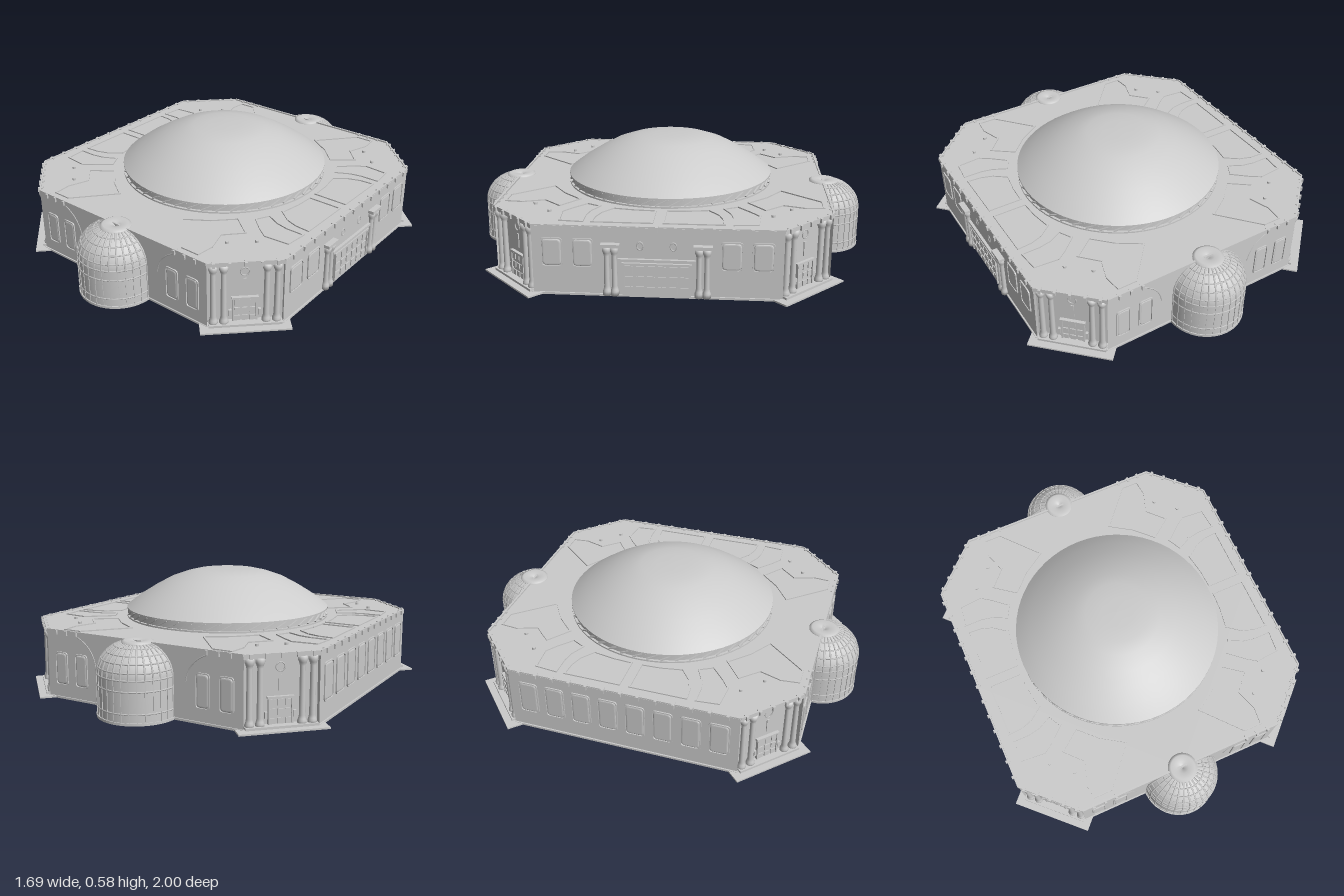
import * as THREE from 'three';

const mat = new THREE.MeshStandardMaterial({ color: 0xcccccc, side: THREE.DoubleSide });

function add(parent, name, geo, x = 0, y = 0, z = 0) {
  const m = new THREE.Mesh(geo, mat);
  m.name = name;
  m.position.set(x, y, z);
  parent.add(m);
  return m;
}
const box = (w, h, d) => new THREE.BoxGeometry(w, h, d);
const V2 = (pts) => pts.map(([x, y]) => new THREE.Vector2(x, y));

function group(parent, name) {
  const g = new THREE.Group();
  g.name = name;
  parent.add(g);
  return g;
}

// Local frame of a wall: x runs along it, z points outward
function wall(parent, name, x, z, angle) {
  const g = group(parent, name);
  g.position.set(x, 0, z);
  g.rotation.y = angle;
  return g;
}

// Upright prism over a plan outline
function slab(parent, name, outline, y0, h) {
  const geo = new THREE.ExtrudeGeometry(new THREE.Shape(V2(outline)), { depth: h, bevelEnabled: false });
  geo.rotateX(-Math.PI / 2);
  return add(parent, name, geo, 0, y0, 0);
}

// Mirror one quarter outline into a closed plan
function plan(q) {
  const r = [...q].reverse();
  return [...q, ...r.map(([x, z]) => [-x, z]), ...q.map(([x, z]) => [-x, -z]), ...r.map(([x, z]) => [x, -z])];
}

function roundRect(w, h, r) {
  const s = new THREE.Shape(), a = w / 2, b = h / 2;
  s.moveTo(-a + r, -b);
  s.lineTo(a - r, -b); s.quadraticCurveTo(a, -b, a, -b + r);
  s.lineTo(a, b - r); s.quadraticCurveTo(a, b, a - r, b);
  s.lineTo(-a + r, b); s.quadraticCurveTo(-a, b, -a, b - r);
  s.lineTo(-a, -b + r); s.quadraticCurveTo(-a, -b, -a + r, -b);
  return s;
}

// Rim with a softly bulging pane
function windowPane(g, x, y, w, h) {
  const rim = roundRect(w, h, 0.018);
  rim.holes.push(roundRect(w - 0.012, h - 0.012, 0.014));
  add(g, 'windowRim', new THREE.ExtrudeGeometry(rim, { depth: 0.006, bevelEnabled: false, curveSegments: 5 }), x, y, 0);
  add(g, 'windowPane', new THREE.ExtrudeGeometry(roundRect(w - 0.03, h - 0.03, 0.012), {
    depth: 0.001, bevelThickness: 0.004, bevelSize: 0.008, bevelSegments: 3, curveSegments: 5 }), x, y, 0);
}

function column(g, x, z, r, h) {
  const pts = [[0, 0], [r * 1.5, 0], [r * 1.5, 0.02], [r * 1.2, 0.03], [r, 0.045], [r * 0.88, h - 0.045],
    [r * 1.2, h - 0.03], [r * 1.5, h - 0.02], [r * 1.5, h], [0, h]];
  add(g, 'column', new THREE.LatheGeometry(V2(pts), 14), x, 0.008, z);
}

// Door with a grid of raised panels
function door(g, w, h, cols, rows) {
  add(g, 'doorLeaf', box(w, h, 0.008), 0, h / 2 + 0.01, 0.003);
  for (const s of [-1, 1]) add(g, 'doorJamb', box(0.008, h, 0.02), s * w / 2, h / 2 + 0.01, 0.006);
  add(g, 'doorLintel', box(w + 0.016, 0.01, 0.02), 0, h + 0.012, 0.006);
  const cw = w / cols, rh = h / rows;
  for (let i = 0; i < cols; i++) for (let j = 0; j < rows; j++)
    add(g, 'doorPanel', box(cw * 0.72, rh * 0.68, 0.008), (i + 0.5 - cols / 2) * cw, 0.01 + (j + 0.5) * rh, 0.008);
}

function dentils(g, positions) {
  for (const x of positions) add(g, 'dentil', box(0.013, 0.022, 0.026), x, 0.327, 0);
}

// Raised line on the roof through plan points
function ridge(g, pts) {
  for (let i = 0; i < pts.length; i++) {
    const [x0, z0] = pts[i], [x1, z1] = pts[(i + 1) % pts.length];
    const dx = x1 - x0, dz = z1 - z0;
    const m = add(g, 'panelRidge', box(Math.hypot(dx, dz) + 0.007, 0.008, 0.008), (x0 + x1) / 2, 0.334, (z0 + z1) / 2);
    m.rotation.y = -Math.atan2(dz, dx);
  }
}

function tower(parent, name, s) {
  const g = wall(parent, name, 0, s * 0.808, s > 0 ? 0 : Math.PI);
  const profile = [[0.187, 0], [0.187, 0.2], [0.182, 0.232], [0.166, 0.268], [0.14, 0.298], [0.105, 0.322], [0.068, 0.333]];
  add(g, 'towerBase', new THREE.CylinderGeometry(0.192, 0.192, 0.012, 40), 0, 0.006, 0);
  add(g, 'towerShell', new THREE.LatheGeometry(V2(profile), 40));
  add(g, 'towerCap', new THREE.LatheGeometry(V2([[0.074, 0.326], [0.074, 0.338], [0.06, 0.345], [0.03, 0.341], [0.012, 0.336], [0, 0.325]]), 32));
  const path = new THREE.CatmullRomCurve3(profile.slice(1).map(([r, y]) => new THREE.Vector3(0, y, r)));
  const rib = new THREE.TubeGeometry(path, 12, 0.0045, 5);
  for (let i = 0; i <= 16; i++) {
    const a = (i / 16 - 0.5) * Math.PI;
    add(g, 'domeRib', rib).rotation.y = a;
    const strip = add(g, 'wallRib', box(0.005, 0.19, 0.006), Math.sin(a) * 0.187, 0.105, Math.cos(a) * 0.187);
    strip.rotation.y = a;
  }
  for (const [r, y] of [[0.187, 0.05], [0.187, 0.15], ...profile.slice(1, 6)]) {
    const ring = new THREE.TorusGeometry(r, 0.004, 5, 32, Math.PI);
    ring.rotateX(Math.PI / 2);
    add(g, 'towerRing', ring, 0, y, 0);
  }
}

export function createModel() {
  const root = new THREE.Group();
  root.name = 'domedHall';

  // Eight-sided body, its corner walls set back under the roof
  slab(root, 'body', plan([[0.785, 0], [0.785, 0.565], [0.765, 0.545], [0.52, 0.782], [0.54, 0.802], [0, 0.802]]), 0, 0.32);
  slab(root, 'plinth', plan([[0.792, 0], [0.792, 0.565], [0.54, 0.808], [0, 0.808]]), 0, 0.01);
  slab(root, 'roof', plan([[0.79, 0], [0.79, 0.565], [0.54, 0.806], [0, 0.806]]), 0.315, 0.017);

  // Central dome on a braced drum
  add(root, 'drum', new THREE.CylinderGeometry(0.518, 0.518, 0.06, 64), 0, 0.355, 0);
  for (const y of [0.339, 0.38]) {
    const ring = new THREE.CylinderGeometry(0.53, 0.53, 0.008, 64);
    add(root, 'drumRing', ring, 0, y, 0);
  }
  for (let i = 0; i < 48; i++) {
    const a = i / 48 * Math.PI * 2;
    const brace = add(root, 'drumBrace', box(0.07, 0.007, 0.009), Math.sin(a) * 0.523, 0.36, Math.cos(a) * 0.523);
    brace.rotation.set(0, a, 0.45);
  }
  add(root, 'dome', new THREE.LatheGeometry(V2([[0.53, 0.384], [0.5, 0.407], [0.45, 0.443], [0.38, 0.486], [0.3, 0.529],
    [0.22, 0.557], [0.16, 0.571], [0.08, 0.575], [0, 0.576]]), 64));

  tower(root, 'frontTower', 1);
  tower(root, 'backTower', -1);

  // Front and back walls: paired windows and sweeping arches
  for (const s of [1, -1]) {
    const g = wall(root, s > 0 ? 'frontWall' : 'backWall', 0, s * 0.802, s > 0 ? 0 : Math.PI);
    for (const m of [-1, 1]) {
      windowPane(g, m * 0.337, 0.15, 0.076, 0.165);
      windowPane(g, m * 0.457, 0.15, 0.076, 0.165);
      const arch = new THREE.QuadraticBezierCurve3(new THREE.Vector3(m * 0.25, 0.18, 0),
        new THREE.Vector3(m * 0.265, 0.29, 0), new THREE.Vector3(m * 0.39, 0.325, 0));
      add(g, 'archLine', new THREE.TubeGeometry(arch, 14, 0.003, 5));
      dentils(g, [0.36, 0.42, 0.48].map((x) => m * x));
    }
    add(g, 'parapet', box(1.08, 0.012, 0.01), 0, 0.334, 0);
  }

  // Side walls: portico on the left, a row of windows on the right
  for (const s of [1, -1]) {
    const g = wall(root, s > 0 ? 'leftWall' : 'rightWall', s * 0.785, 0, s * Math.PI / 2);
    const tabs = [];
    for (let i = -6; i <= 6; i++) tabs.push(i * 0.085);
    dentils(g, tabs);
    add(g, 'parapet', box(1.13, 0.01, 0.008), 0, 0.333, 0);
    if (s < 0) {
      for (let i = 0; i < 8; i++) windowPane(g, (i - 3.5) * 0.135, 0.185, 0.1, 0.18);
      continue;
    }
    for (const m of [-1, 1]) {
      windowPane(g, m * 0.335, 0.205, 0.1, 0.14);
      windowPane(g, m * 0.475, 0.205, 0.1, 0.14);
      column(g, m * 0.19, 0.007, 0.013, 0.235);
      column(g, m * 0.225, 0.007, 0.013, 0.235);
      add(g, 'columnCap', box(0.085, 0.015, 0.035), m * 0.207, 0.25, 0.012);
      const rosette = add(g, 'rosette', new THREE.TorusGeometry(0.014, 0.003, 5, 14), m * 0.075, 0.245, 0);
      rosette.scale.y = 1.3;
    }
    door(g, 0.3, 0.15, 6, 3);
    add(g, 'porticoBeam', box(0.35, 0.014, 0.016), 0, 0.178, 0.006);
  }

  // Corner entrances: sill, door, columns and keyhole ornament
  for (const sx of [1, -1]) for (const sz of [1, -1]) {
    const g = wall(root, 'cornerEntrance', sx * 0.6425, sz * 0.6635, Math.atan2(sx * 0.237, sz * 0.245));
    add(g, 'sill', box(0.41, 0.008, 0.1), 0, 0.004, 0.03);
    add(g, 'step', box(0.33, 0.014, 0.05), 0, 0.012, 0.02);
    door(g, 0.105, 0.125, 3, 3);
    for (const m of [-1, 1]) {
      column(g, m * 0.095, 0.017, 0.014, 0.31);
      column(g, m * 0.142, 0.017, 0.014, 0.31);
      add(g, 'doorStud', box(0.012, 0.03, 0.016), m * 0.066, 0.06, 0.006);
    }
    add(g, 'keyholeRing', new THREE.TorusGeometry(0.02, 0.003, 5, 16), 0, 0.27, 0.002);
    add(g, 'keyholeSlot', box(0.014, 0.07, 0.006), 0, 0.2, 0.002);
    const trim = group(g, 'cornerTrim');
    trim.position.z = 0.028;
    dentils(trim, [-0.14, -0.07, 0, 0.07, 0.14]);
    add(trim, 'parapet', box(0.34, 0.01, 0.008), 0, 0.333, 0);

    // Raised roof panels in this quarter
    const roofPanels = group(root, 'roofPanels');
    const panels = [
      [[0.558, 0.025], [0.73, 0.025], [0.73, 0.30], [0.66, 0.295], [0.6, 0.275], [0.535, 0.225], [0.553, 0.12]],
      [[0.51, 0.295], [0.58, 0.33], [0.64, 0.342], [0.73, 0.342], [0.72, 0.45], [0.6, 0.46], [0.55, 0.425], [0.475, 0.36]],
      [[0.205, 0.575], [0.37, 0.765], [0.462, 0.765], [0.47, 0.68], [0.435, 0.575], [0.515, 0.49], [0.41, 0.41], [0.32, 0.5]],
    ];
    for (const p of panels) ridge(roofPanels, p.map(([x, z]) => [sx * x, sz * z]));
    add(roofPanels, 'roofVent', new THREE.CylinderGeometry(0.009, 0.009, 0.014, 10), sx * 0.5, 0.336, sz * 0.61);
    add(roofPanels, 'roofVent', new THREE.CylinderGeometry(0.009, 0.009, 0.014, 10), sx * 0.6, 0.336, sz * 0.52);
  }
  return root;
}
